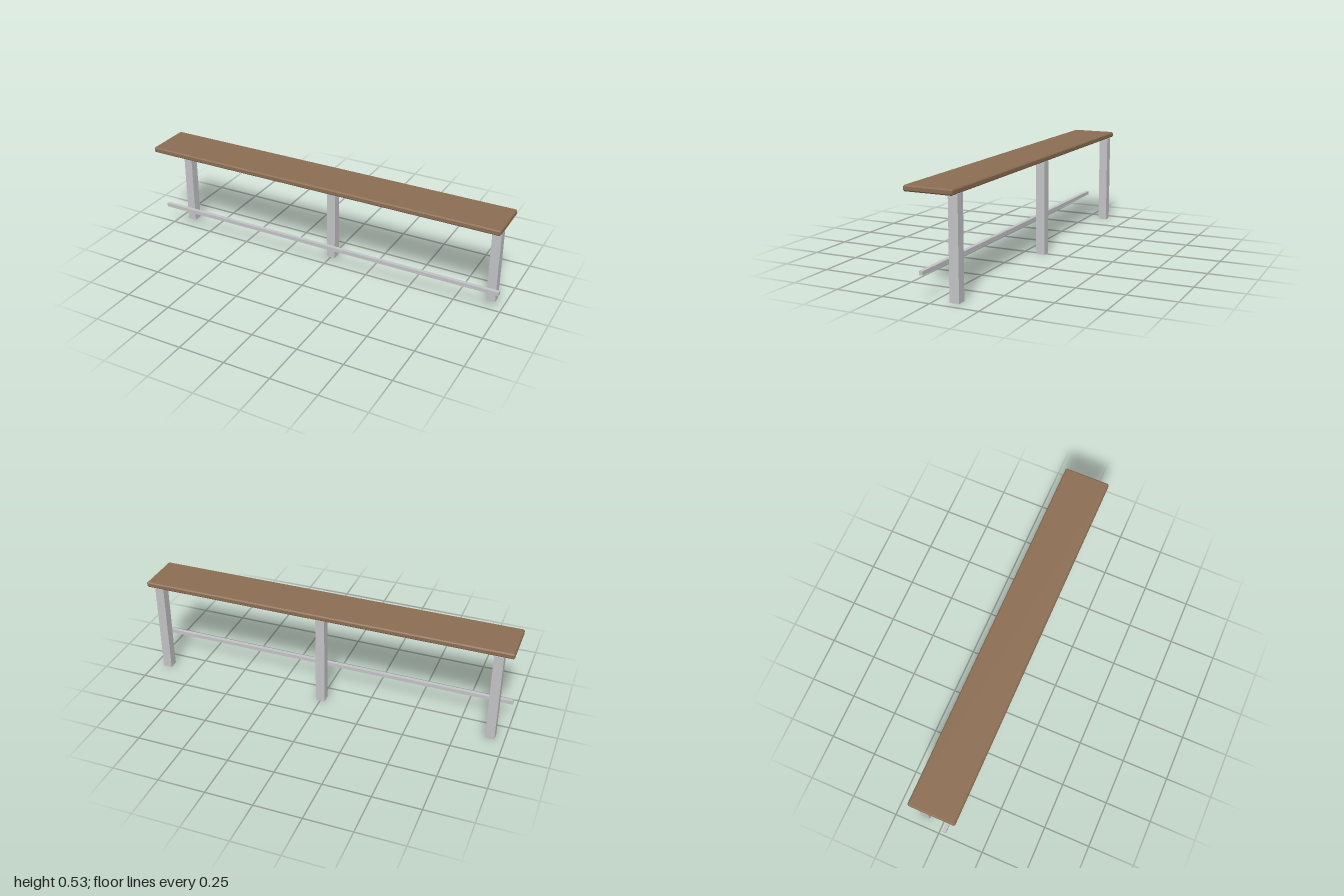
import * as THREE from 'three';
import { ConvexGeometry } from 'three/addons/geometries/ConvexGeometry.js';

// Box centred on the origin with every edge chamfered by c
function chamferedBox(w, h, d, c) {
  const half = [w / 2, h / 2, d / 2];
  const points = [];
  for (const sx of [-1, 1]) for (const sy of [-1, 1]) for (const sz of [-1, 1]) {
    for (let axis = 0; axis < 3; axis++) {
      // One corner point per face: full extent on its axis, inset on the others
      const [x, y, z] = half.map((v, i) => (i === axis ? v : v - c));
      points.push(new THREE.Vector3(sx * x, sy * y, sz * z));
    }
  }
  return new ConvexGeometry(points);
}

export function createModel() {
  const wood = new THREE.MeshStandardMaterial({ color: 0x8b6d53 });
  wood.name = 'brown wood';
  const metal = new THREE.MeshStandardMaterial({ color: 0xc2c3c5 });
  metal.name = 'light grey metal';

  const bench = new THREE.Group();
  bench.name = 'bench';
  const add = (name, geometry, material, x, y, z) => {
    const mesh = new THREE.Mesh(geometry, material);
    mesh.name = name;
    mesh.position.set(x, y, z);
    bench.add(mesh);
  };

  // Seat plank
  add('seat', chamferedBox(2, 0.029, 0.25, 0.006), wood, 0, 0.5155, 0);

  // Three square posts along the back edge
  const post = new THREE.BoxGeometry(0.049, 0.501, 0.049);
  [['rightLeg', -0.925], ['middleLeg', 0], ['leftLeg', 0.925]].forEach(([name, x]) =>
    add(name, post, metal, x, 0.2505, -0.0995));

  // Long thin foot rail in front of the posts
  add('footRail', new THREE.BoxGeometry(2, 0.02, 0.02), metal, 0, 0.136, 0.041);

  return bench;
}
